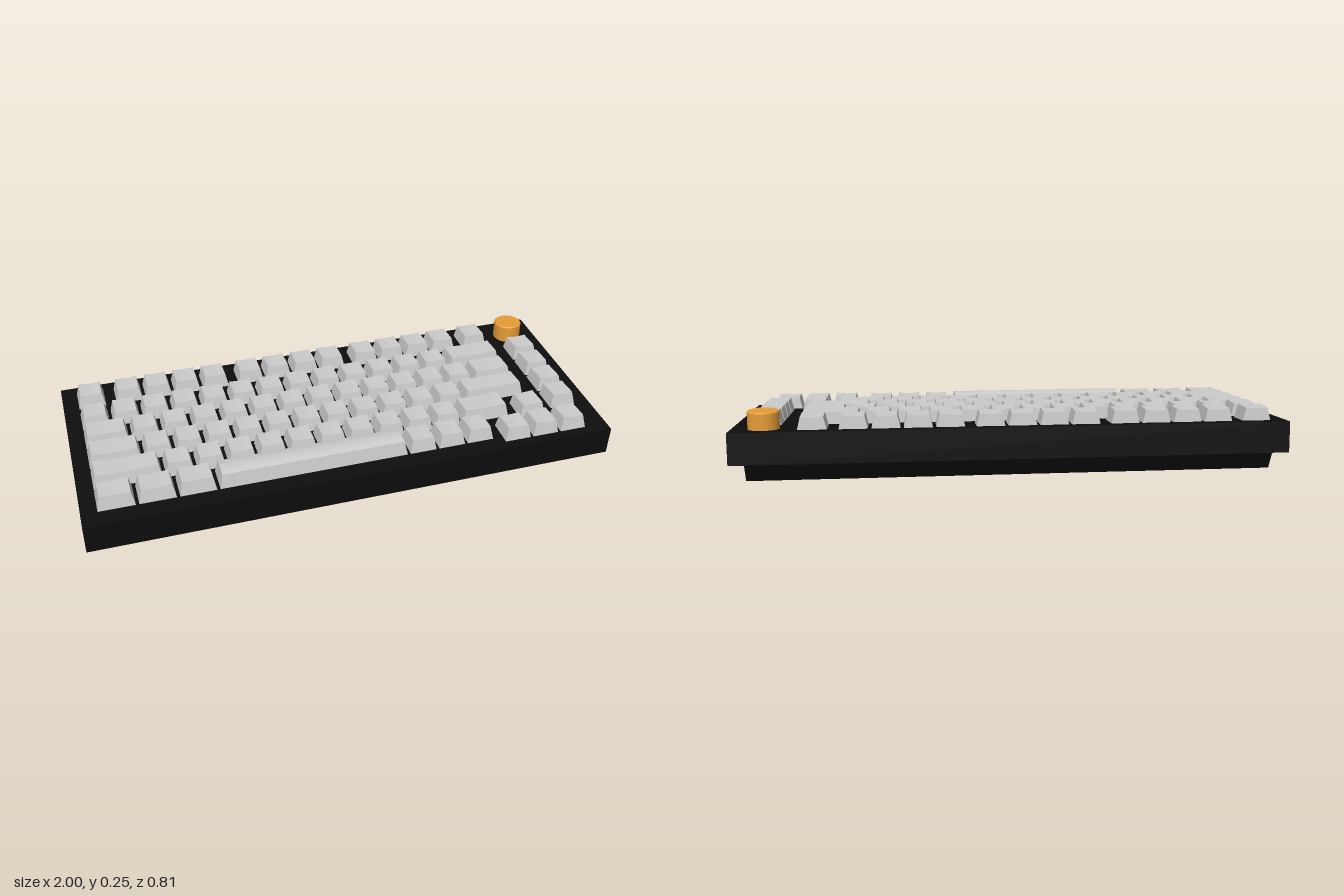
import * as THREE from 'three';

const U = 0.1145;      // width of one key unit
const LEFT = -0.947;   // left edge of the key field
const surfaceY = z => 0.13 + (0.405 - z) * 0.071; // sloped top of the case

const keyMat = new THREE.MeshStandardMaterial({ color: 0xcccccc });
const caseMat = new THREE.MeshStandardMaterial({ color: 0x0d0d0d });
const knobMat = new THREE.MeshStandardMaterial({ color: 0xe69c38 });

// Side profile given as [z, y], extruded across the width
function sideExtrude(name, profile, width) {
  const shape = new THREE.Shape(profile.map(([z, y]) => new THREE.Vector2(-z, y)));
  const geo = new THREE.ExtrudeGeometry(shape, { depth: width, bevelEnabled: false });
  geo.translate(0, 0, -width / 2);
  geo.rotateY(Math.PI / 2); // shape x (-z) becomes -z, depth becomes x
  const mesh = new THREE.Mesh(geo, caseMat);
  mesh.name = name;
  return mesh;
}

// Tapered keycap standing on the slope, with a level dished (or domed) top
function keycap(name, startU, widthU, z, domed = false) {
  const w = widthU * U - 0.01, d = 0.103;
  const geo = new THREE.BoxGeometry(w, 1, d, 6, 1, domed ? 8 : 1);
  const p = geo.attributes.position;
  const top = surfaceY(z) + 0.05;
  for (let i = 0; i < p.count; i++) {
    const fx = p.getX(i) / (w / 2), fz = p.getZ(i) / (d / 2);
    if (p.getY(i) > 0) {
      const curve = domed ? 0.007 * (1 - fz * fz) : -0.003 * (1 - fx * fx);
      p.setXYZ(i, fx * (w / 2 - 0.012), top + curve, fz * (d / 2 - 0.008) - 0.003);
    } else {
      p.setY(i, surfaceY(z + p.getZ(i)) - 0.004);
    }
  }
  geo.computeVertexNormals();
  const mesh = new THREE.Mesh(geo, keyMat);
  mesh.name = name;
  mesh.position.set(LEFT + (startU + widthU / 2) * U, 0, z);
  return mesh;
}

const ones = n => Array(n).fill(1);

export function createModel() {
  const model = new THREE.Group();
  model.name = 'keyboard';

  // Tilted case body and the wedge foot under it
  model.add(sideExtrude('case',
    [[0.398, 0.017], [0.405, 0.13], [-0.398, 0.187], [-0.405, 0.073]], 2));
  model.add(sideExtrude('base',
    [[0.378, 0], [0.378, 0.03], [-0.372, 0.08], [-0.372, 0.07], [-0.338, 0]], 1.9));

  // Key rows: a negative number is a gap, others are key widths in units
  const rows = [
    { z: -0.305, keys: [1, -0.25, ...ones(4), -0.25, ...ones(4), -0.25, ...ones(4), -0.25, 1] },
    { z: -0.17, keys: [...ones(13), 2, -0.5, 1] },
    { z: -0.0555, keys: [1.5, ...ones(12), 1.5, -0.5, 1] },
    { z: 0.059, keys: [1.75, ...ones(11), 2.25, -0.5, 1] },
    { z: 0.1735, keys: [2.25, ...ones(10), 1.75, -1.5, 1] },
    { z: 0.287, keys: [1.25, 1.25, 1.25, 6.25, 1, 1, 1] },
  ];
  rows.forEach(({ z, keys }, r) => {
    const row = new THREE.Group();
    row.name = `keyRow${r + 1}`;
    let at = 0;
    for (const k of keys) {
      if (k > 0) row.add(keycap(k > 6 ? 'spaceBar' : 'key', at, k, z, k > 6));
      at += Math.abs(k);
    }
    model.add(row);
  });

  // Arrow cluster, set slightly forward of its rows
  const arrows = new THREE.Group();
  arrows.name = 'arrowKeys';
  arrows.add(keycap('upKey', 14.25, 1, 0.201));
  for (const s of [13.25, 14.25, 15.25]) arrows.add(keycap('arrowKey', s, 1, 0.316));
  model.add(arrows);

  // Rotary knob with a small edge chamfer
  const profile = [[0, 0.165], [0.056, 0.165], [0.056, 0.243], [0.052, 0.247], [0, 0.247]];
  const segments = profile.slice(1).map((b, i) => {
    const pts = [profile[i], b].map(([x, y]) => new THREE.Vector2(x, y));
    return new THREE.LatheGeometry(pts, 48);
  });
  const knob = new THREE.Group();
  knob.name = 'knob';
  segments.forEach(g => knob.add(new THREE.Mesh(g, knobMat)));
  knob.children.forEach((m, i) => { m.name = ['knobBottom', 'knobSide', 'knobChamfer', 'knobTop'][i]; });
  knob.position.set(0.885, 0, -0.302);
  model.add(knob);

  return model;
}
